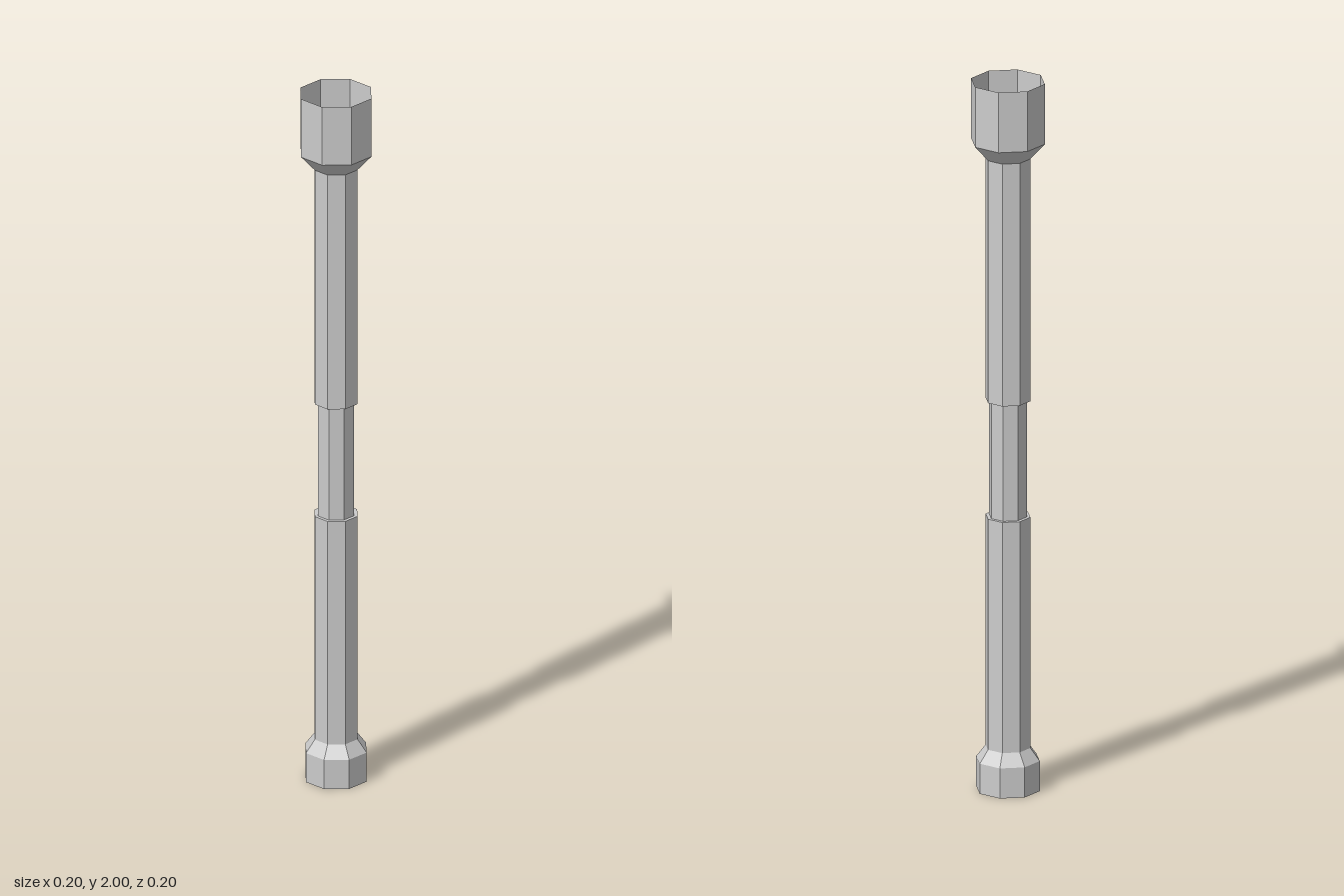
import * as THREE from 'three';

// Eight-sided hollow tube, open at both ends, made of thin faceted walls
export function createModel() {
  const group = new THREE.Group();
  const material = new THREE.MeshStandardMaterial({
    color: 0xcccccc, flatShading: true, side: THREE.DoubleSide,
  });

  // Each section is a profile of [radius, height], from bottom to top
  const sections = {
    footCollar: [[0.088, 0], [0.088, 0.085], [0.062, 0.12]],
    lowerTube: [[0.062, 0.12], [0.062, 0.772], [0.052, 0.772]],
    narrowGrip: [[0.052, 0.772], [0.052, 1.1]],
    upperTube: [[0.052, 1.1], [0.062, 1.1], [0.062, 1.785]],
    topSocket: [[0.062, 1.785], [0.102, 1.83], [0.102, 2]],
  };

  for (const [name, profile] of Object.entries(sections)) {
    const points = profile.map(([r, y]) => new THREE.Vector2(r, y));
    const mesh = new THREE.Mesh(new THREE.LatheGeometry(points, 8), material);
    mesh.name = name;
    group.add(mesh);
  }
  return group;
}
